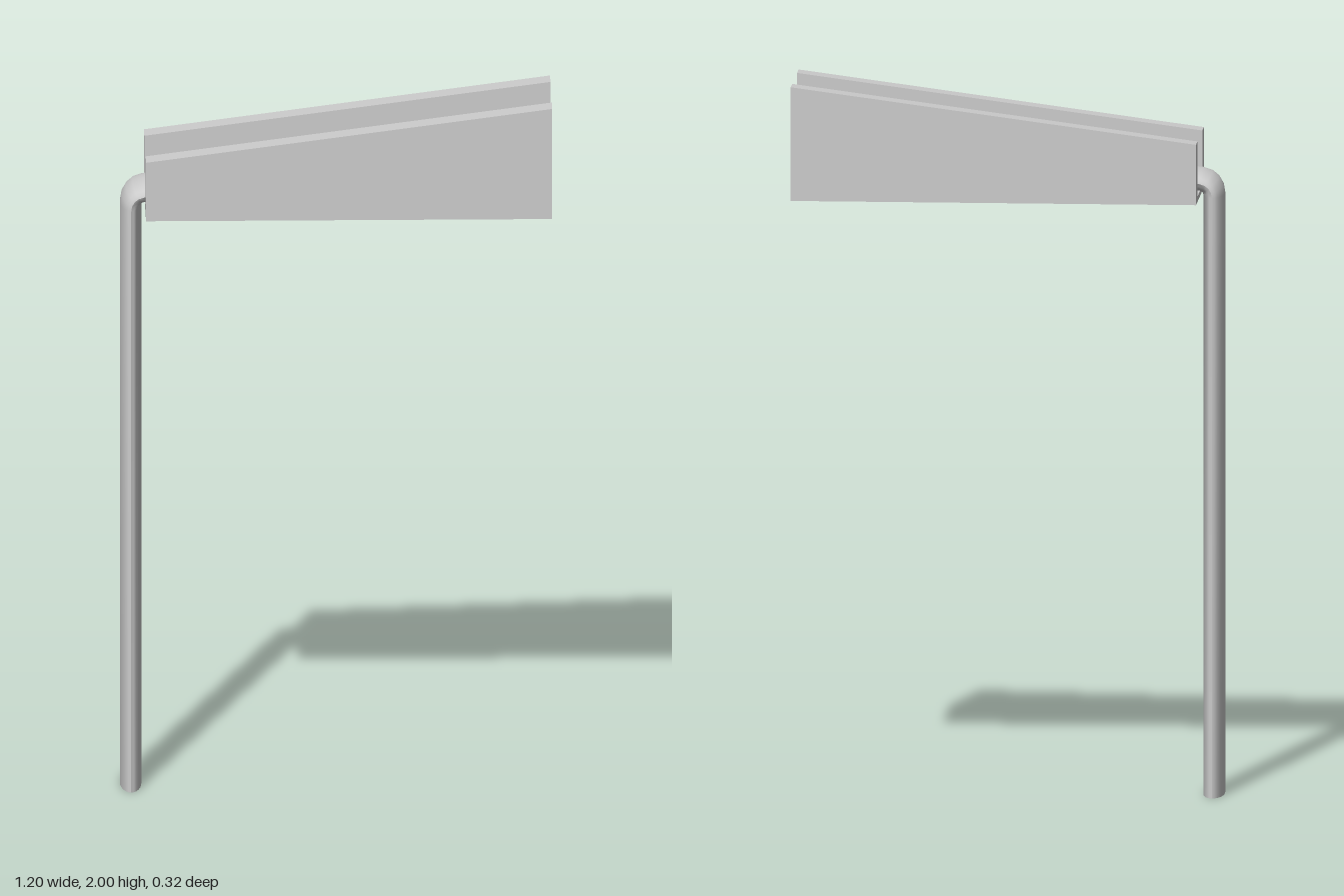
import * as THREE from 'three';
import { toCreasedNormals } from 'three/addons/utils/BufferGeometryUtils.js';

const material = new THREE.MeshStandardMaterial({ color: 0xcccccc });

// U-shaped channel swept along x, its walls and floor sloping down to the narrow end
function channelGeometry() {
  const x0 = -0.53, x1 = 0.6, bottom = 1.68, floor = 1.785, top = 2;
  const outer = 0.16, inner = 0.098;
  const profile = new THREE.Shape([
    [-outer, bottom], [outer, bottom], [outer, top], [inner, top],
    [inner, floor], [-inner, floor], [-inner, top], [-outer, top],
  ].map(([x, y]) => new THREE.Vector2(x, y)));
  const geo = new THREE.ExtrudeGeometry(profile, { depth: x1 - x0, bevelEnabled: false });
  geo.rotateY(Math.PI / 2).translate(x0, 0, 0);
  const p = geo.attributes.position;
  for (let i = 0; i < p.count; i++) {
    if (p.getX(i) > 0) continue;
    if (p.getY(i) > 1.9) p.setY(i, 1.85);
    else if (p.getY(i) > 1.7) p.setY(i, 1.695);
  }
  geo.computeVertexNormals();
  return geo;
}

// Flat elliptical bar swept through rings: [x, y, z, heading in degrees, half width]
function barGeometry(rings, halfThickness, sides = 24) {
  const pos = [], index = [];
  for (const [x, y, z, deg, halfWidth] of rings) {
    const a = THREE.MathUtils.degToRad(deg);
    for (let j = 0; j < sides; j++) {
      const t = (j / sides) * Math.PI * 2;
      const n = Math.cos(t) * halfThickness;
      pos.push(x - Math.sin(a) * n, y + Math.cos(a) * n, z + Math.sin(t) * halfWidth);
    }
  }
  const last = (rings.length - 1) * sides;
  for (let j = 0; j < sides; j++) {
    const k = (j + 1) % sides;
    for (let s = 0; s < last; s += sides) {
      index.push(s + j, s + k, s + sides + k, s + j, s + sides + k, s + sides + j);
    }
    // End caps as fans
    if (j > 0 && j < sides - 1) index.push(0, k, j, last, last + j, last + k);
  }
  const geo = new THREE.BufferGeometry();
  geo.setAttribute('position', new THREE.Float32BufferAttribute(pos, 3));
  geo.setIndex(index);
  return toCreasedNormals(geo, 0.7);
}

export function createModel() {
  const group = new THREE.Group();

  const channel = new THREE.Mesh(channelGeometry(), material);
  channel.name = 'channel';

  // Upright leg, tight quarter bend, then the arm lying in the channel
  const rings = [[-0.57, 0, 0, 90, 0.097]];
  for (const deg of [90, 70, 50, 30, 6]) {
    const a = THREE.MathUtils.degToRad(deg);
    rings.push([-0.53 - 0.04 * Math.sin(a), 1.69 + 0.04 * Math.cos(a), 0, deg, 0.098]);
  }
  rings.push([0.517, 1.835, 0.012, 6, 0.085]);
  const bar = new THREE.Mesh(barGeometry(rings, 0.03), material);
  bar.name = 'bentBar';

  group.add(channel, bar);
  return group;
}
